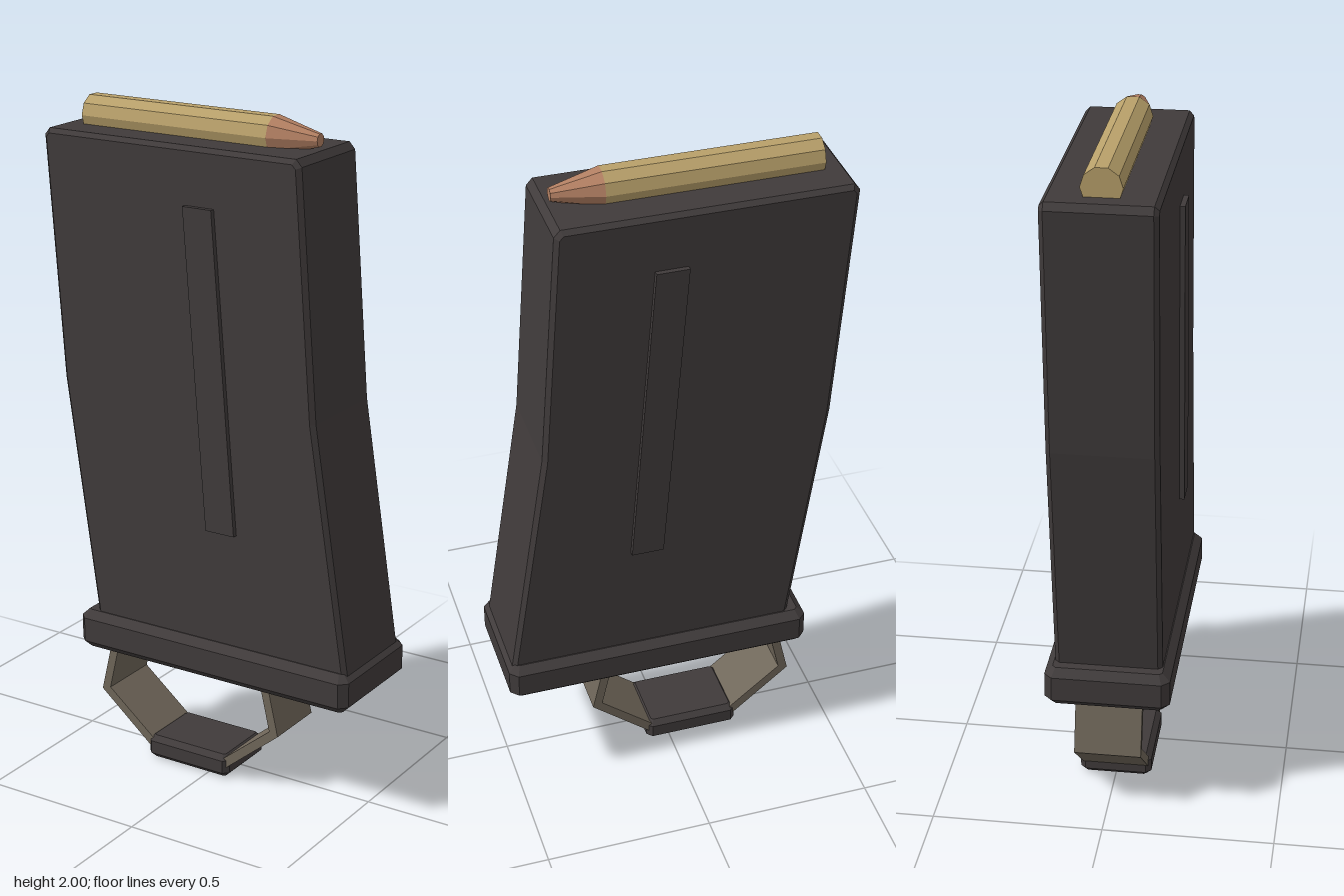
import * as THREE from 'three';

const flat = (color, name) => {
  const m = new THREE.MeshStandardMaterial({ color });
  m.name = name;
  return m;
};

// Polygon in the XY plane from [x, y] pairs
const polygon = (pts) => new THREE.Shape(pts.map(([x, y]) => new THREE.Vector2(x, y)));

// Extrusion centred on z with a chamfer that stays inside the outline
function slab(pts, depth, bevel = 0) {
  const geo = new THREE.ExtrudeGeometry(polygon(pts), {
    depth: depth - 2 * bevel,
    bevelEnabled: bevel > 0,
    bevelSize: bevel,
    bevelOffset: -bevel,
    bevelThickness: bevel,
    bevelSegments: 1,
  });
  return geo.translate(0, 0, -depth / 2 + bevel);
}

// Block with every edge chamfered, standing upright
function chamferBlock(x0, x1, y0, y1, halfZ, c) {
  const w = (x1 - x0) / 2;
  const h = halfZ;
  const plan = [
    [-w + c, -h], [w - c, -h], [w, -h + c], [w, h - c],
    [w - c, h], [-w + c, h], [-w, h - c], [-w, -h + c],
  ];
  return slab(plan, y1 - y0, c).rotateX(-Math.PI / 2).translate((x0 + x1) / 2, (y0 + y1) / 2, 0);
}

export function createModel() {
  const model = new THREE.Group();
  model.name = 'magazine';
  const polymer = flat(0x403b3b, 'dark polymer');
  const webbing = flat(0x70675a, 'brown webbing');
  const brass = flat(0xb8a06a, 'brass');
  const copper = flat(0xb27f62, 'copper');

  const add = (name, geo, material, parent = model) => {
    const mesh = new THREE.Mesh(geo, material);
    mesh.name = name;
    parent.add(mesh);
    return mesh;
  };

  // Bent casing
  add('casing', slab([
    [-0.355, 0.45], [0.503, 0.45], [0.387, 1.19], [0.333, 1.9], [0.315, 1.92],
    [-0.5, 1.92], [-0.516, 1.9], [-0.462, 1.19],
  ], 0.312, 0.013), polymer);

  // Slanted raised rib on both faces
  add('sideRibs', slab([[0.042, 0.815], [0.137, 0.815], [0.062, 1.755], [-0.032, 1.755]], 0.342), polymer);

  // Floor plate
  add('floorPlate', chamferBlock(-0.41, 0.515, 0.35, 0.47, 0.182, 0.023), polymer);

  // Pull loop: a bent strap on each side of the grip
  const loop = new THREE.Group();
  loop.name = 'pullLoop';
  model.add(loop);
  const strap = [
    [0.272, 0.37], [0.315, 0.183], [0.125, 0.025], [0.105, 0.045], [0.286, 0.193], [0.245, 0.37],
  ];
  for (const side of [-1, 1]) {
    const pts = strap.map(([x, y]) => [side * x - 0.07, y]);
    add(side > 0 ? 'leftStrap' : 'rightStrap', slab(pts, 0.196), webbing, loop);
  }
  add('loopGrip', chamferBlock(-0.215, 0.073, 0, 0.072, 0.107, 0.016), polymer, loop);

  // Top cartridge: ten-sided case and tapered bullet lying along x
  const cartridge = new THREE.Group();
  cartridge.name = 'cartridge';
  cartridge.position.y = 1.946;
  model.add(cartridge);
  const round = (rEnd, rStart, x0, x1) =>
    new THREE.CylinderGeometry(rEnd, rStart, x1 - x0, 10)
      .rotateY(Math.PI / 2 + Math.PI / 10 + Math.PI / 5)
      .rotateZ(-Math.PI / 2)
      .translate((x0 + x1) / 2, 0, 0)
      .toNonIndexed();
  const parts = [
    ['case', round(0.0568, 0.0568, -0.45, 0.165), brass],
    ['bullet', round(0.019, 0.0568, 0.165, 0.306), copper],
  ];
  for (const [name, geo, material] of parts) {
    geo.computeVertexNormals();
    material.flatShading = true;
    add(name, geo, material, cartridge);
  }

  return model;
}
